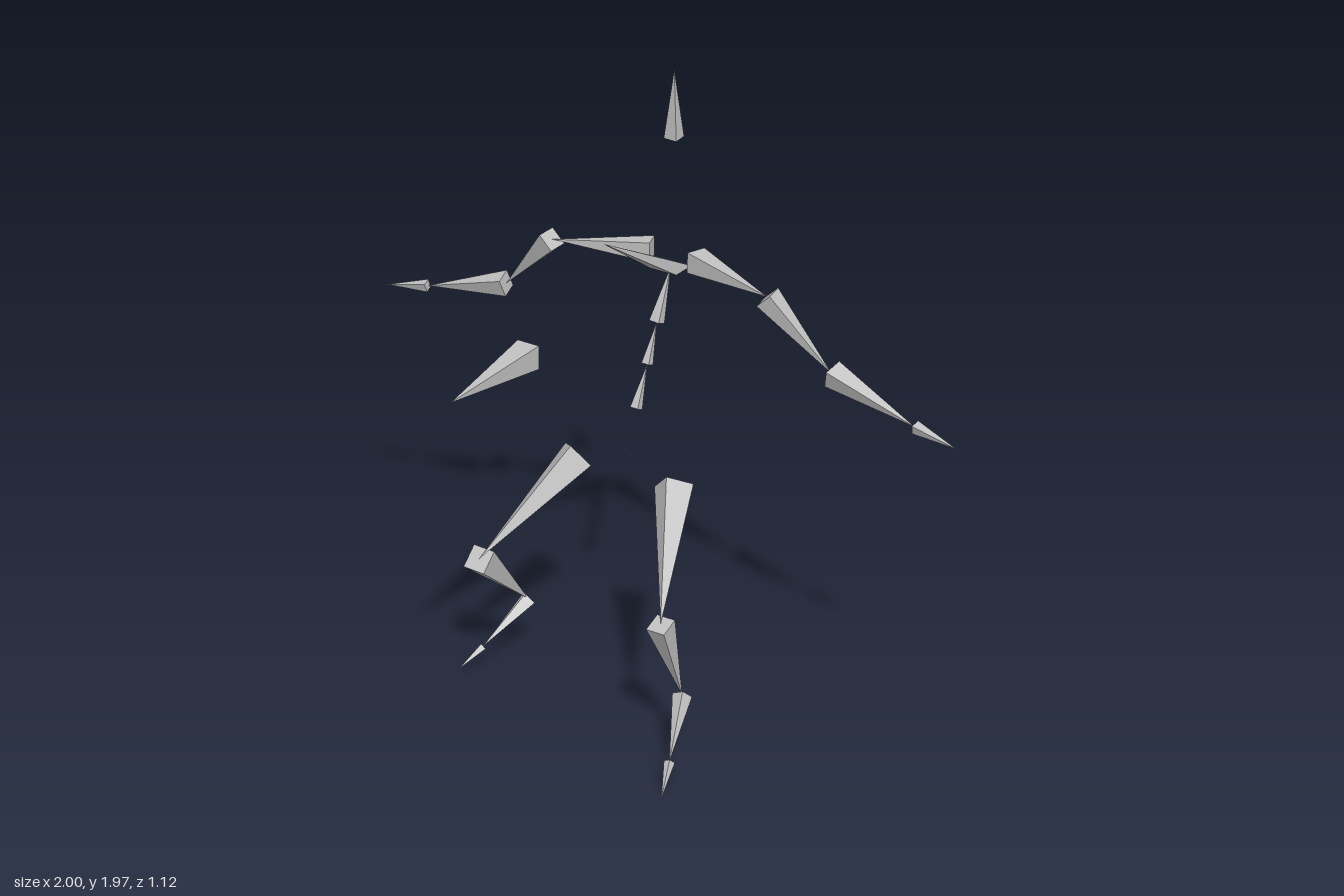
import * as THREE from 'three';

const bonePaint = new THREE.MeshStandardMaterial({ color: 0xc0c0c0 });
bonePaint.name = 'bone grey';

// Square pyramid from base centre to tip, one fifth as wide as long.
// edge sets the roll of the base; depth, if given, slants the base along that direction.
function bone(group, name, base, tip, edge, depth) {
  const a = new THREE.Vector3(...base);
  const y = new THREE.Vector3(...tip).sub(a);
  const length = y.length();
  y.normalize();
  const x = new THREE.Vector3(...edge);
  x.addScaledVector(y, -x.dot(y)).normalize();
  const z = depth ? new THREE.Vector3(...depth) : new THREE.Vector3().crossVectors(x, y);

  const geometry = new THREE.ConeGeometry(0.2 * length * Math.SQRT1_2, length, 4).toNonIndexed();
  geometry.rotateY(Math.PI / 4);
  geometry.translate(0, length / 2, 0);
  geometry.applyMatrix4(new THREE.Matrix4().makeBasis(x, y, z).setPosition(a));
  geometry.computeVertexNormals();
  const mesh = new THREE.Mesh(geometry, bonePaint);
  mesh.name = name;
  group.add(mesh);
}

export function createModel() {
  const model = new THREE.Group();
  model.name = 'poseSkeleton';
  const X = [1, 0, 0], Y = [0, 1, 0], Z = [0, 0, 1];

  // Head, neck with a level base, spine and the marker in front of the chest
  bone(model, 'head', [0.03, 1.76, -0.472], [0.04, 1.968, -0.45], X);
  bone(model, 'neck', [0.004, 1.338, -0.516], [0.016, 1.545, -0.136], X, Z);
  bone(model, 'frontMarker', [0.004, 1.335, 0.205], [0.006, 1.333, 0.555], X);
  bone(model, 'upperSpine', [-0.006, 1.18, -0.457], [0.002, 1.34, -0.515], X);
  bone(model, 'middleSpine', [-0.007, 1.06, -0.41], [-0.006, 1.18, -0.457], X);
  bone(model, 'lowerSpine', [-0.008, 0.935, -0.355], [-0.007, 1.06, -0.41], X);
  bone(model, 'hip', [-0.008, 0.818, -0.3], [-0.008, 0.826, -0.302], X);

  // Arms: joints from collar to fingertip
  const arms = {
    left: [[0.075, 1.37, -0.535], [0.378, 1.367, -0.433], [0.575, 1.163, -0.475], [0.86, 1.09, -0.443], [1, 1.073, -0.42]],
    right: [[-0.077, 1.37, -0.535], [-0.368, 1.367, -0.432], [-0.575, 1.155, -0.478], [-0.857, 1.09, -0.44], [-1, 1.068, -0.413]],
  };
  const armParts = [['Collar', Y], ['UpperArm', Z], ['Forearm', [0, 1, 0.3]], ['Hand', [0, 1, 0.3]]];

  // Legs: joints from hip to toe tip
  const legs = {
    left: [[0.163, 0.75, -0.303], [0.32, 0.479, 0.005], [0.338, 0.187, -0.096], [0.398, 0.064, 0.064], [0.43, 0, 0.155]],
    right: [[-0.182, 0.75, -0.303], [-0.335, 0.477, 0.005], [-0.34, 0.203, -0.255], [-0.392, 0.097, -0.08], [-0.425, 0.045, 0.002]],
  };

  for (const side of ['left', 'right']) {
    const s = side === 'left' ? 1 : -1;
    const footEdge = s > 0 ? [1, 0.4, 0.2] : [1, 0.9, 0.5];
    const legParts = [['Thigh', [-0.93 * s, 0.47, 0.95]], ['Shin', X], ['Foot', footEdge], ['Toe', footEdge]];
    for (const [joints, parts] of [[arms[side], armParts], [legs[side], legParts]]) {
      parts.forEach(([name, edge], i) => bone(model, side + name, joints[i], joints[i + 1], edge));
    }
  }
  return model;
}
